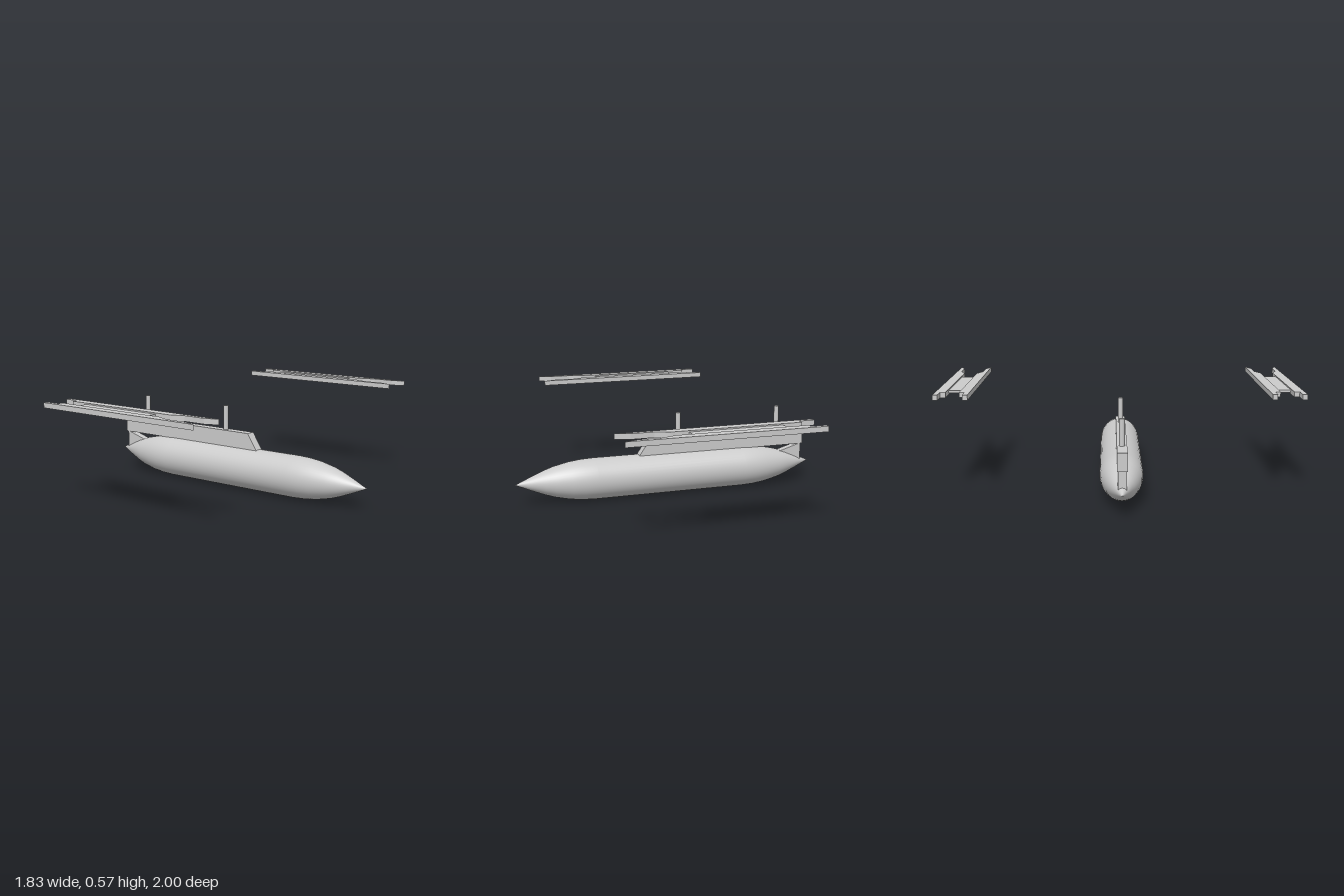
import * as THREE from 'three';

const material = new THREE.MeshStandardMaterial({ color: 0xcccccc });
const CENTRE_Z = 0.006;

function addMesh(parent, name, geometry, x = 0, y = 0, z = 0) {
  const mesh = new THREE.Mesh(geometry, material);
  mesh.name = name;
  mesh.position.set(x, y, z);
  parent.add(mesh);
  return mesh;
}

// Extrudes an outline, centred on its thickness
function plate(points, depth) {
  const shape = new THREE.Shape(points.map(([x, y]) => new THREE.Vector2(x, y)));
  return new THREE.ExtrudeGeometry(shape, { depth, bevelEnabled: false }).translate(0, 0, -depth / 2);
}

// Slotted rack: two notched rails joined by a thin web
function createRack(name) {
  const rack = new THREE.Group();
  rack.name = name;
  const outline = [
    [-0.513, 0.0935], [-0.513, 0.066], [-0.426, 0.066], [-0.426, 0.037],
    [0.288, 0.037], [0.36, 0.066], [0.484, 0.066], [0.558, 0.0935],
  ];
  for (const side of [1, -1]) {
    const points = outline.map(([x, z]) => [x, z * side]);
    const rail = plate(points, 0.029);
    rail.rotateX(-Math.PI / 2);
    addMesh(rack, side > 0 ? 'backRail' : 'frontRail', rail);
  }
  addMesh(rack, 'web', new THREE.BoxGeometry(0.51, 0.015, 0.076), -0.065, 0, 0);
  return rack;
}

export function createModel() {
  const model = new THREE.Group();
  model.name = 'tankAndRacks';

  // Spindle-shaped body lying along x
  const half = [[0.455, 0.12], [0.53, 0.1165], [0.6, 0.108], [0.69, 0.088],
    [0.75, 0.068], [0.83, 0.036], [0.915, 0]];
  const profile = [
    ...half.slice().reverse().map(([x, r]) => new THREE.Vector2(r, -x)),
    ...half.map(([x, r]) => new THREE.Vector2(r, x)),
  ];
  const body = new THREE.LatheGeometry(profile, 40).rotateZ(-Math.PI / 2);
  addMesh(model, 'body', body, -0.003, 0.122, CENTRE_Z);

  // Pylon with a sloped leading edge
  addMesh(model, 'pylon', plate([
    [-0.866, 0.236], [0.185, 0.236], [0.12, 0.333], [-0.866, 0.333],
  ], 0.054), 0, 0, CENTRE_Z);

  // Tail strut between pylon and body
  addMesh(model, 'tailStrut', plate([
    [-0.855, 0.238], [-0.855, 0.135], [-0.68, 0.15], [-0.68, 0.187],
  ], 0.046), 0, 0, CENTRE_Z);

  // Mounting posts
  for (const [name, x] of [['rearPost', -0.698], ['frontPost', -0.064]]) {
    addMesh(model, name, new THREE.CylinderGeometry(0.0145, 0.0145, 0.16, 16), x, 0.397, CENTRE_Z);
  }

  // Racks on both sides
  for (const [name, z] of [['frontRack', 0.9065], ['backRack', -0.9065]]) {
    const rack = createRack(name);
    rack.position.set(0, 0.5545, z);
    model.add(rack);
  }
  return model;
}
